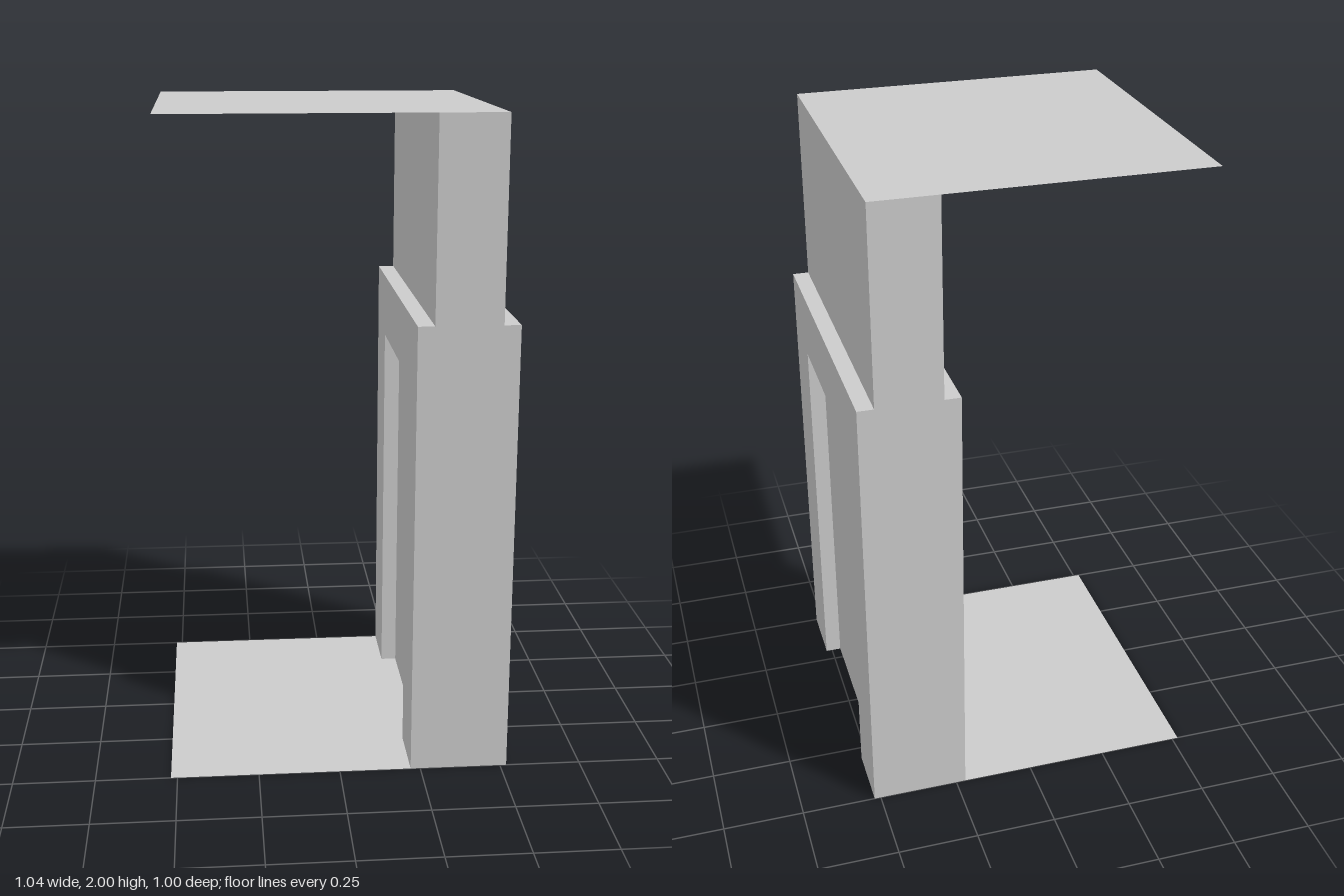
import * as THREE from 'three';

const material = new THREE.MeshStandardMaterial({ color: 0xcccccc, flatShading: true });
const sheet = new THREE.MeshStandardMaterial({ color: 0xcccccc, side: THREE.DoubleSide });

const shapeOf = (points) => new THREE.Shape(points.map(([a, b]) => new THREE.Vector2(a, b)));

export function createModel() {
  const group = new THREE.Group();
  const add = (name, geometry, mat, x = 0, y = 0, z = 0) => {
    const mesh = new THREE.Mesh(geometry, mat);
    mesh.name = name;
    mesh.position.set(x, y, z);
    group.add(mesh);
    return mesh;
  };

  const half = 0.5;      // half length of the wall
  const doorHalf = 0.3;  // half width of the doorway
  const doorTop = 1.2;
  const wallTop = 1.4;
  const inner = 0.22, outer = 0.52, left = -0.52;
  const recess = 0.05;
  const midX = (inner + outer) / 2;
  const thin = outer - inner - 2 * recess;

  // Thick lower wall with a doorway cut through it
  const frame = new THREE.ExtrudeGeometry(shapeOf([
    [-half, 0], [-doorHalf, 0], [-doorHalf, doorTop], [doorHalf, doorTop],
    [doorHalf, 0], [half, 0], [half, wallTop], [-half, wallTop],
  ]), { depth: outer - inner, bevelEnabled: false });
  frame.rotateY(Math.PI / 2);
  add('doorFrame', frame, material, inner);

  // Door panel, set back from both faces
  add('door', new THREE.BoxGeometry(thin, doorTop, 2 * doorHalf), material, midX, doorTop / 2);

  // Thinner upper wall
  add('upperWall', new THREE.BoxGeometry(thin, 2 - wallTop, 2 * half), material, midX, (2 + wallTop) / 2);

  // Floor sheet, reaching into the inner door recess
  const floor = new THREE.ShapeGeometry(shapeOf([
    [left, -half], [inner, -half], [inner, -doorHalf], [inner + recess, -doorHalf],
    [inner + recess, doorHalf], [inner, doorHalf], [inner, half], [left, half],
  ]));
  floor.rotateX(-Math.PI / 2);
  add('floor', floor, sheet);

  // Ceiling sheet, meeting the top of the upper wall
  const ceilingWidth = inner + recess - left;
  const ceiling = new THREE.PlaneGeometry(ceilingWidth, 2 * half);
  ceiling.rotateX(-Math.PI / 2);
  add('ceiling', ceiling, sheet, left + ceilingWidth / 2, 2);

  return group;
}
